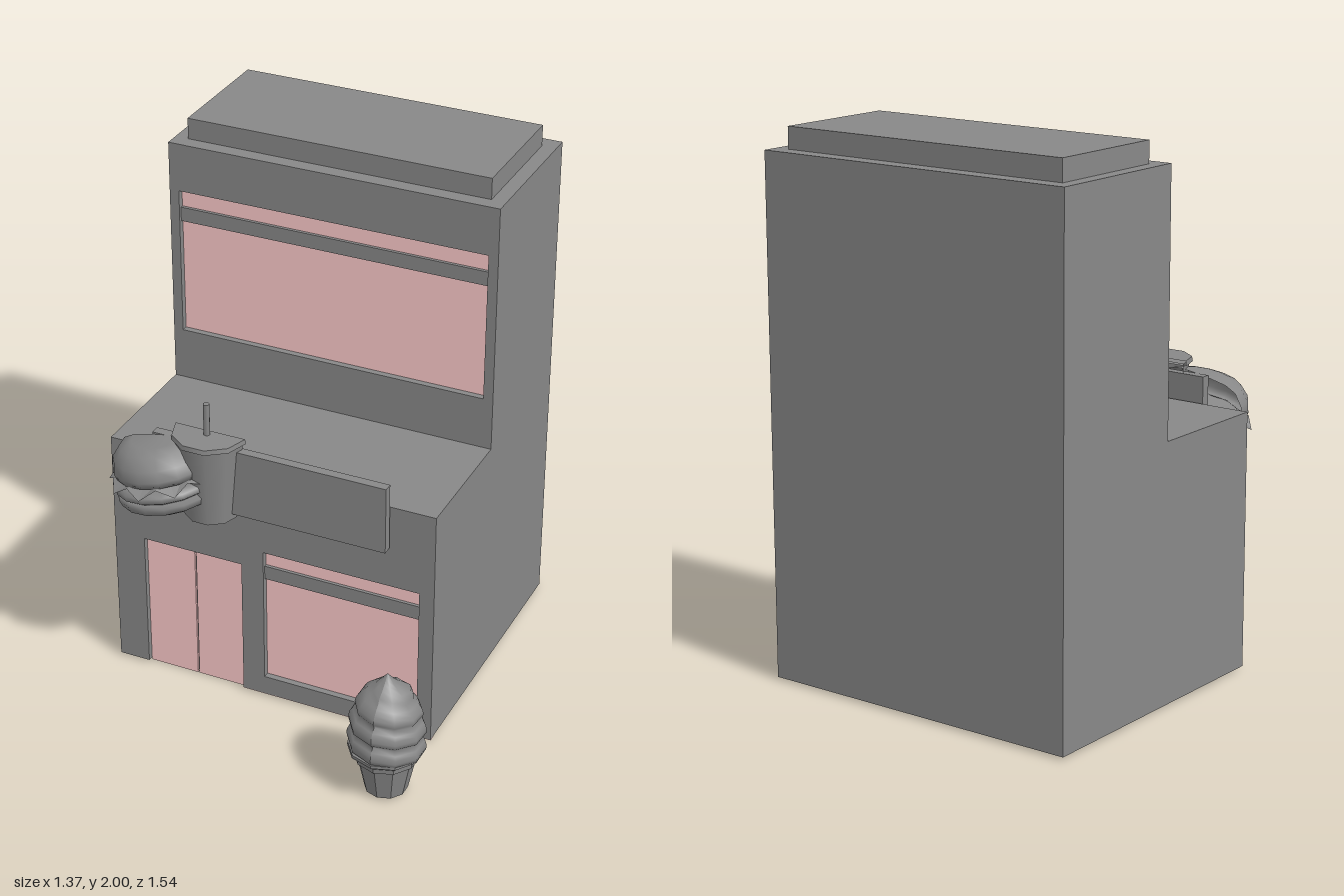
import * as THREE from 'three';

const grey = new THREE.MeshStandardMaterial({ color: 0x888888, side: THREE.DoubleSide });
const greyFlat = new THREE.MeshStandardMaterial({ color: 0x888888, side: THREE.DoubleSide, flatShading: true });
const pink = new THREE.MeshStandardMaterial({ color: 0xfdcbcb });

function add(parent, name, geometry, material = grey) {
  const mesh = new THREE.Mesh(geometry, material);
  mesh.name = name;
  parent.add(mesh);
  return mesh;
}

// Box given by its lower and upper corners
function box(parent, name, [x0, y0, z0], [x1, y1, z1], material = grey) {
  const mesh = add(parent, name, new THREE.BoxGeometry(x1 - x0, y1 - y0, z1 - z0), material);
  mesh.position.set((x0 + x1) / 2, (y0 + y1) / 2, (z0 + z1) / 2);
}

const points = (list) => list.map(([x, y]) => new THREE.Vector2(x, y));

const L = -0.687, R = 0.587, BACK = -0.77, FRONT = 0.33, UPPER = -0.172;
const BASE = 0.01, STEP = 0.965, TOP = 1.92, T = 0.03, NICHE = 0.125;

// Flat front wall with rectangular openings, front face at z
function wall(parent, name, outline, openings, z) {
  const shape = new THREE.Shape(points(outline));
  for (const [x0, y0, x1, y1] of openings) {
    shape.holes.push(new THREE.Path(points([[x0, y0], [x0, y1], [x1, y1], [x1, y0]])));
  }
  const geometry = new THREE.ExtrudeGeometry(shape, { depth: T, bevelEnabled: false });
  add(parent, name, geometry).position.z = z - T;
}

// Recessed glazing in front of a closed niche: main pane, bar and transom
function glazing(parent, name, x0, x1, [a, b, c, d], z) {
  const back = z - T;
  box(parent, name + 'Niche', [x0, a, z - NICHE], [x1, d, back]);
  box(parent, name + 'Pane', [x0, a, back], [x1, b, back + 0.006], pink);
  box(parent, name + 'Transom', [x0, c, back], [x1, d, back + 0.006], pink);
  box(parent, name + 'Bar', [x0, b, back], [x1, c, z - 0.012]);
}

function building() {
  const g = new THREE.Group();
  g.name = 'building';

  // Stepped side walls, profile drawn in (-z, y)
  const profile = new THREE.Shape(points([
    [-FRONT, BASE], [-BACK, BASE], [-BACK, TOP], [-UPPER, TOP], [-UPPER, STEP], [-FRONT, STEP],
  ]));
  const side = new THREE.ExtrudeGeometry(profile, { depth: 0.01, bevelEnabled: false });
  side.rotateY(Math.PI / 2);
  add(g, 'rightWall', side).position.x = L;
  add(g, 'leftWall', side).position.x = R - 0.01;

  box(g, 'backWall', [L, BASE, BACK], [R, TOP, BACK + 0.01]);
  box(g, 'terrace', [L, STEP - 0.01, UPPER - 0.01], [R, STEP, FRONT]);
  box(g, 'roof', [L, TOP - 0.01, BACK], [R, TOP, UPPER]);
  box(g, 'roofCap', [-0.636, TOP, -0.71], [0.532, 2, -0.228]);

  // Lower front with door notch and shop window
  wall(g, 'lowerFront', [
    [L, BASE], [-0.566, BASE], [-0.566, 0.56], [-0.168, 0.56], [-0.168, BASE],
    [R, BASE], [R, STEP], [L, STEP],
  ], [[-0.08, 0.085, 0.53, 0.635]], FRONT);
  box(g, 'baseStrip', [-0.168, BASE - 0.004, FRONT - T], [R, BASE, FRONT - 0.002], pink);
  glazing(g, 'shopWindow', -0.08, 0.53, [0.085, 0.515, 0.57, 0.635], FRONT);
  box(g, 'doorNiche', [-0.566, BASE, FRONT - NICHE], [-0.168, 0.56, FRONT - T]);
  for (const [name, x] of [['rightDoor', -0.566], ['leftDoor', -0.364]]) {
    box(g, name, [x, 0, FRONT - T], [x + 0.196, 0.56, FRONT - T + 0.008], pink);
  }

  // Upper front with wide window
  wall(g, 'upperFront', [[L, STEP], [R, STEP], [R, TOP], [L, TOP]],
    [[-0.65, 1.165, 0.55, 1.735]], UPPER);
  glazing(g, 'upperWindow', -0.65, 0.55, [1.165, 1.61, 1.665, 1.735], UPPER);

  box(g, 'signBoard', [-0.49, 0.8, FRONT + 0.01], [0.417, 1.062, 0.375]);
  return g;
}

// Half-round cup mounted against the sign
function cup() {
  const g = new THREE.Group();
  g.name = 'drinkCup';
  const half = (r1, r0, h) =>
    new THREE.CylinderGeometry(r1, r0, h, 5, 1, false, -Math.PI / 2, Math.PI);
  add(g, 'cupBody', half(0.128, 0.1, 0.32)).position.y = 0.935;
  add(g, 'cupLid', half(0.137, 0.14, 0.018)).position.y = 1.098;
  add(g, 'straw', new THREE.CylinderGeometry(0.012, 0.012, 0.16, 8)).position.set(0, 1.15, 0.025);
  g.position.set(-0.272, 0, 0.348);
  return g;
}

// Half-round tilted burger
function burger() {
  const g = new THREE.Group();
  g.name = 'burger';
  const half = (name, list) =>
    add(g, name, new THREE.LatheGeometry(points(list), 8, -Math.PI / 2, Math.PI));
  half('bottomBun', [[0, -0.128], [0.13, -0.128], [0.182, -0.1], [0.19, -0.075], [0.18, -0.06], [0, -0.06]]);
  half('patty', [[0, -0.065], [0.17, -0.065], [0.192, -0.05], [0.192, -0.03], [0.17, -0.015], [0, -0.015]]);
  half('topBun', [[0, 0.005], [0.18, 0.005], [0.187, 0.03], [0.178, 0.07], [0.145, 0.11], [0.1, 0.125], [0, 0.13]]);

  // Wavy salad leaf: every other rim point droops outwards
  const leaf = new THREE.CylinderGeometry(0.15, 0.19, 0.02, 10, 1, true, -Math.PI / 2, Math.PI);
  const p = leaf.attributes.position;
  for (let i = 11; i < 22; i++) {
    const droop = i % 2 === 0;
    const s = droop ? 1.12 : 1;
    p.setXYZ(i, p.getX(i) * s, droop ? -0.025 : 0.004, p.getZ(i) * s);
  }
  add(g, 'saladLeaf', leaf, greyFlat);
  g.position.set(-0.442, 0.93, 0.375);
  g.rotation.z = 0.19;
  return g;
}

// Soft ice cream in a wafer cup
function iceCream() {
  const g = new THREE.Group();
  g.name = 'iceCream';
  add(g, 'waferCup', new THREE.CylinderGeometry(0.107, 0.078, 0.135, 10), greyFlat).position.y = 0.078;
  add(g, 'waferRim', new THREE.LatheGeometry(points([
    [0.09, 0.142], [0.116, 0.146], [0.118, 0.165], [0.138, 0.182], [0.138, 0.194], [0.1, 0.202],
  ]), 10), greyFlat);

  // Swirl: rows climb one pitch per turn, bulge repeats every pitch
  const K = 5, N = 25, SIDES = 10, H = 0.315;
  const envelope = points([[0.14, 0], [0.142, 0.06], [0.134, 0.14], [0.112, 0.2], [0.088, 0.24], [0.035, 0.275], [0, H]]);
  const radius = (y) => {
    const i = Math.max(1, envelope.findIndex((e) => e.y >= y - 1e-6));
    const a = envelope[i - 1], b = envelope[i];
    return a.x + (b.x - a.x) * (y - a.y) / (b.y - a.y);
  };
  const bulge = [0.86, 0.98, 1, 0.99, 0.95];
  const swirl = new THREE.LatheGeometry(points(Array.from({ length: N + 1 }, (_, i) => [1, i])), SIDES);
  const p = swirl.attributes.position;
  for (let i = 0; i < p.count; i++) {
    const row = i % (N + 1), turn = Math.floor(i / (N + 1)) / SIDES;
    const y = THREE.MathUtils.clamp((row - K * turn) * H / (N - K), 0, H);
    const r = radius(y) * (y > 0.25 ? 1 : bulge[row % K]);
    p.setXYZ(i, r * Math.sin(turn * 2 * Math.PI), y, r * Math.cos(turn * 2 * Math.PI));
  }
  swirl.computeVertexNormals();
  add(g, 'swirl', swirl).position.y = 0.183;
  g.position.set(0.545, 0, 0.633);
  return g;
}

export function createModel() {
  const model = new THREE.Group();
  model.name = 'fastFoodShop';
  model.add(building(), cup(), burger(), iceCream());
  return model;
}
